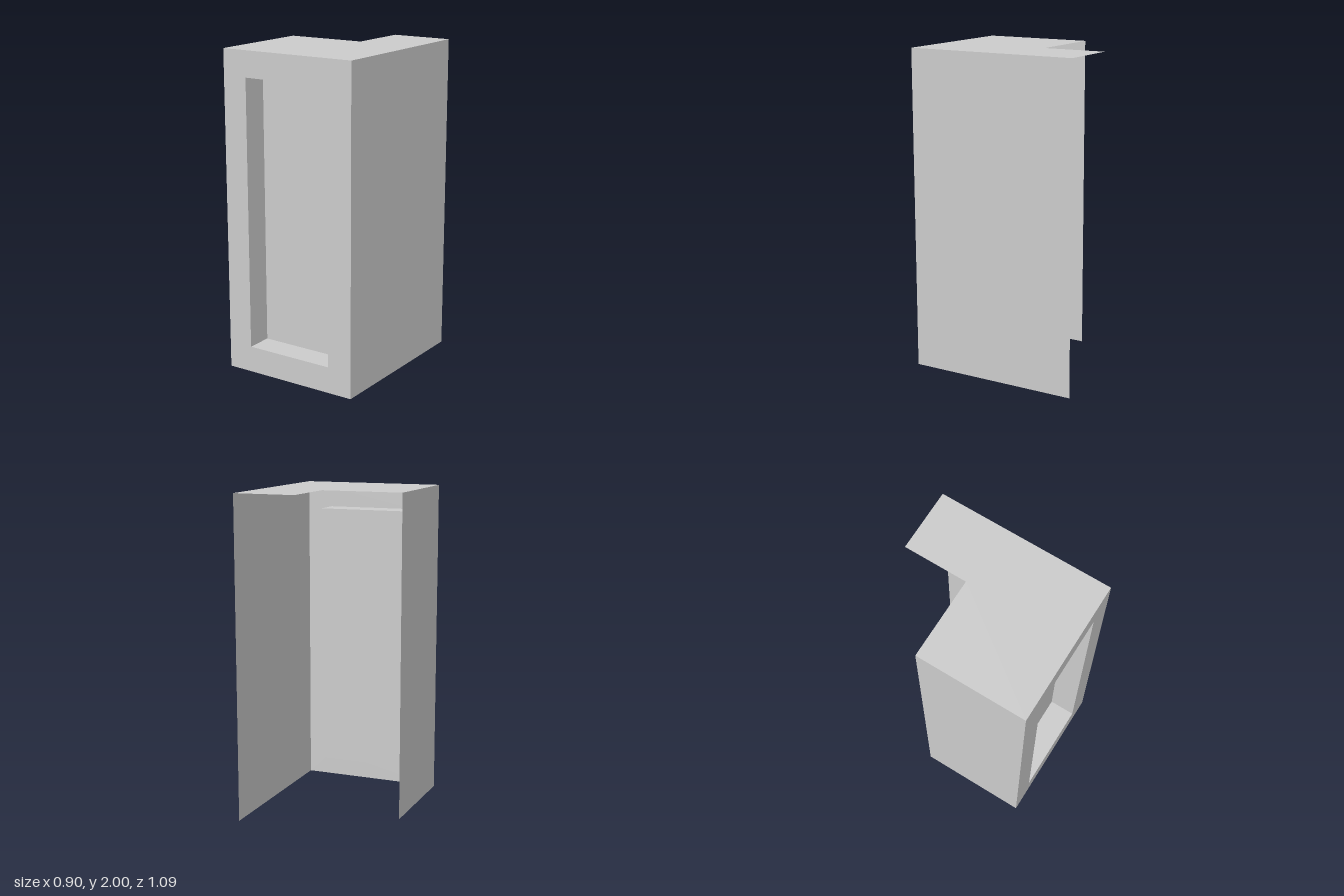
import * as THREE from 'three';

const X = 0.449, Z = 0.546, H = 2;          // half width, half depth, height
const WX = 0.288, W0 = 0.164, W1 = 1.84;    // window half width, bottom, top
const DEPTH = 0.165;                        // recess depth
const NOTCH_X = 0.06, NOTCH_Z = -0.147;     // cut-out at the back corner

const material = new THREE.MeshStandardMaterial({
  color: 0xcccccc, flatShading: true, side: THREE.DoubleSide,
});

const points = (list) => list.map(([x, y]) => new THREE.Vector2(x, y));

export function createModel() {
  const model = new THREE.Group();
  model.name = 'cabinetShell';

  const add = (name, geometry, x, y, z, rx = 0, ry = 0) => {
    const mesh = new THREE.Mesh(geometry, material);
    mesh.name = name;
    mesh.position.set(x, y, z);
    mesh.rotation.set(rx, ry, 0);
    model.add(mesh);
  };

  // Front frame with a rectangular opening
  const frame = new THREE.Shape(points([[-X, 0], [X, 0], [X, H], [-X, H]]));
  frame.holes.push(new THREE.Path(points([[-WX, W0], [-WX, W1], [WX, W1], [WX, W0]])));
  add('frontFrame', new THREE.ShapeGeometry(frame), 0, 0, Z);

  // Recessed panel and its four reveals
  const winH = W1 - W0, midY = (W0 + W1) / 2, midZ = Z - DEPTH / 2;
  add('recessPanel', new THREE.PlaneGeometry(2 * WX, winH), 0, midY, Z - DEPTH);
  for (const [side, s] of [['left', 1], ['right', -1]]) {
    add(side + 'Reveal', new THREE.PlaneGeometry(DEPTH, winH), s * WX, midY, midZ, 0, -s * Math.PI / 2);
  }
  add('bottomReveal', new THREE.PlaneGeometry(2 * WX, DEPTH), 0, W0, midZ, -Math.PI / 2);
  add('topReveal', new THREE.PlaneGeometry(2 * WX, DEPTH), 0, W1, midZ, Math.PI / 2);

  // Side walls: the left runs full depth, the right stops at the notch
  add('leftWall', new THREE.PlaneGeometry(2 * Z, H), X, H / 2, 0, 0, Math.PI / 2);
  add('rightWall', new THREE.PlaneGeometry(Z - NOTCH_Z, H), -X, H / 2, (Z + NOTCH_Z) / 2, 0, -Math.PI / 2);

  // L-shaped top; shape y becomes -z
  const top = new THREE.Shape(points([
    [-X, -Z], [X, -Z], [X, Z], [NOTCH_X, Z], [NOTCH_X, -NOTCH_Z], [-X, -NOTCH_Z],
  ]));
  add('top', new THREE.ShapeGeometry(top), 0, H, 0, -Math.PI / 2);

  return model;
}
